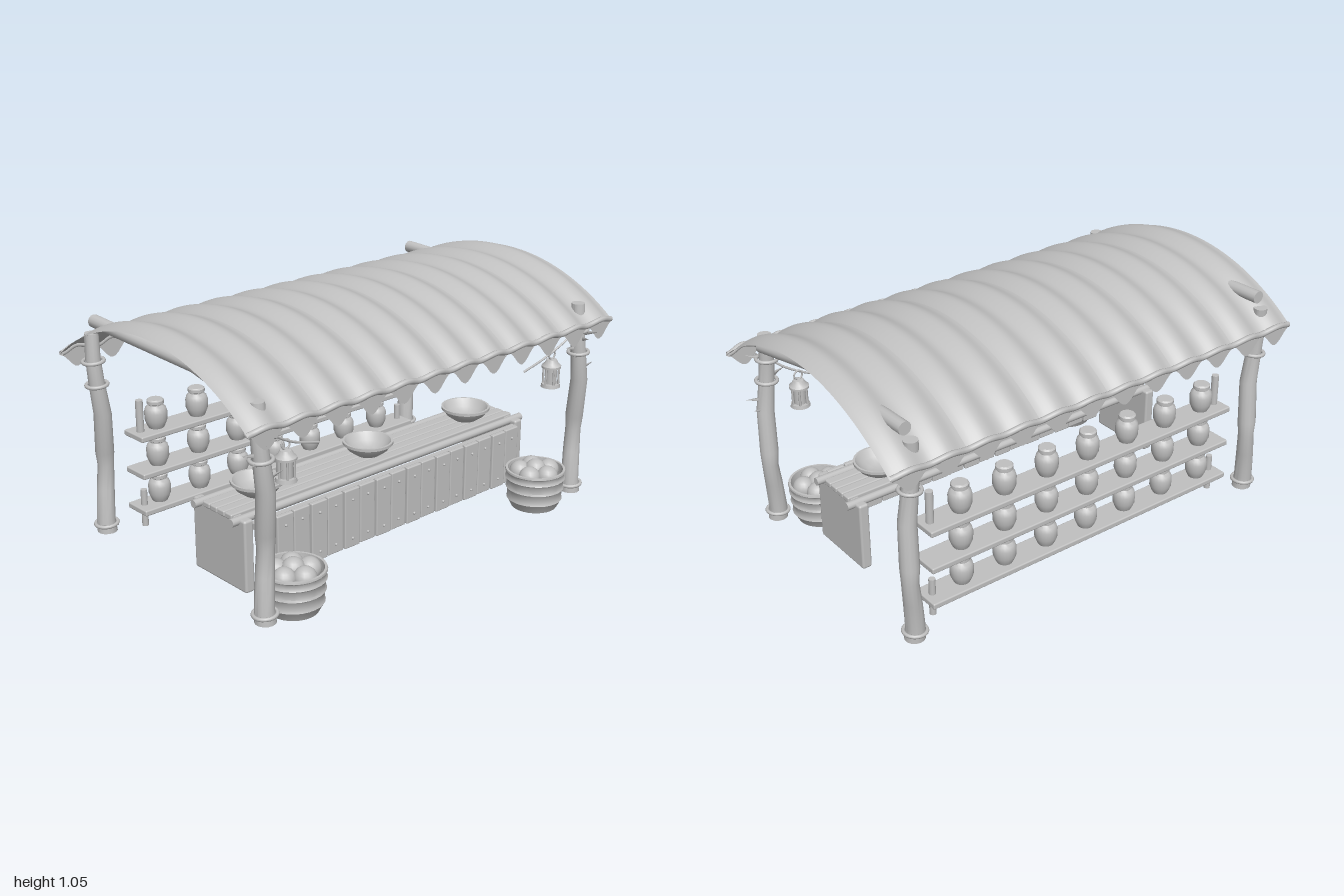
import * as THREE from 'three';
import { RoundedBoxGeometry } from 'three/addons/geometries/RoundedBoxGeometry.js';
import { toCreasedNormals } from 'three/addons/utils/BufferGeometryUtils.js';

const V = (x, y, z) => new THREE.Vector3(x, y, z);

export function createModel() {
  const model = new THREE.Group();
  model.name = 'marketStall';
  const clay = new THREE.MeshStandardMaterial({ color: 0xc0c0c0, side: THREE.DoubleSide });
  clay.name = 'plainGrey';

  const add = (name, geo, x = 0, y = 0, z = 0, parent = model) => {
    const mesh = new THREE.Mesh(geo, clay);
    mesh.name = name;
    mesh.position.set(x, y, z);
    parent.add(mesh);
    return mesh;
  };
  const group = (name, x = 0, y = 0, z = 0) => {
    const g = new THREE.Group();
    g.name = name;
    g.position.set(x, y, z);
    model.add(g);
    return g;
  };
  const lathe = (pts, sides = 24) =>
    toCreasedNormals(new THREE.LatheGeometry(pts.map(p => new THREE.Vector2(...p)), sides), 0.7);
  const ring = (r, t) => new THREE.TorusGeometry(r, t, 8, 20).rotateX(Math.PI / 2);

  // Pole whose rings follow rows of [x, y, z, radius]; height runs along y
  const bentPole = (rows, sides = 14) => {
    const n = rows.length - 1;
    const geo = new THREE.CylinderGeometry(1, 1, n, sides, n);
    const p = geo.attributes.position;
    for (let i = 0; i < p.count; i++) {
      const [x, y, z, r] = rows[Math.round(p.getY(i) + n / 2)];
      p.setXYZ(i, x + p.getX(i) * r, y, z + p.getZ(i) * r);
    }
    return toCreasedNormals(geo, 0.8);
  };

  // Arched roof in six corrugated panels
  const R = 0.962, half = 0.674;
  const wave = x => -0.011 * Math.cos(12 * Math.PI * x);
  const roofPoint = (x, a) => {
    const r = R + wave(x);
    return V(x, 1.043 - R + r * Math.cos(a), r * Math.sin(a));
  };
  const roof = group('roof');
  for (let k = 0; k < 6; k++) {
    const sheet = new THREE.PlaneGeometry(1, 1, 24, 32);
    const p = sheet.attributes.position;
    for (let i = 0; i < p.count; i++) {
      const q = roofPoint(-1 + (k + p.getX(i) + 0.5) / 3, -p.getY(i) * 2 * half);
      p.setXYZ(i, q.x, q.y, q.z);
    }
    sheet.computeVertexNormals();
    add('roofPanel', sheet, 0, 0, 0, roof);
  }
  // Wavy hem and scalloped valance along both eaves
  for (const s of [1, -1]) {
    const pts = [];
    for (let i = 0; i <= 96; i++) pts.push(roofPoint(-0.995 + i * 1.99 / 96, s * half));
    add('roofHem', new THREE.TubeGeometry(new THREE.CatmullRomCurve3(pts), 192, 0.012, 8), 0, 0, 0, roof);
    const valance = new THREE.PlaneGeometry(2, 1, 144, 1);
    const p = valance.attributes.position;
    for (let i = 0; i < p.count; i++) {
      const x = p.getX(i), top = p.getY(i) > 0;
      p.setY(i, top ? 0.835 + wave(x) : 0.785 + 0.032 * Math.cos(12 * Math.PI * x));
    }
    add('valance', valance, 0, 0, s * 0.6, roof);
  }

  // Four crooked posts with binding rings
  const crook = [
    [-0.003, 0.035, 0.003, 0.042], [-0.005, 0.09, 0, 0.039], [0.01, 0.22, -0.012, 0.037],
    [0.023, 0.32, -0.02, 0.034], [0.018, 0.38, -0.014, 0.039], [0.005, 0.56, 0.01, 0.037],
    [-0.015, 0.7, 0.012, 0.033], [-0.02, 0.8, 0.005, 0.031], [-0.015, 0.905, -0.003, 0.029]
  ];
  const twigs = [ // height, heading, length
    [0.78, 1.5, 0.07], [0.755, 2.0, 0.06], [0.71, 3.1, 0.07], [0.68, 2.7, 0.06],
    [0.61, 0.1, 0.07], [0.57, -0.3, 0.06], [0.8, 0.5, 0.05]
  ];
  for (const sx of [1, -1]) for (const sz of [1, -1]) {
    const post = group(sz > 0 ? 'frontPost' : 'backPost', sx * 0.878, 0, sz * 0.522);
    add('pole', bentPole(crook), 0, 0, 0, post);
    for (const [y, x, z, r] of [[0.79, -0.02, 0.006, 0.043], [0.69, -0.014, 0.012, 0.043], [0.07, -0.004, 0.002, 0.046]])
      add('bindingRing', ring(r, 0.008), x, y, z, post).rotation.z = 0.06;
    if (sz > 0) for (const [y, a, len] of twigs) {
      const twig = new THREE.ConeGeometry(0.012, len, 5).translate(0, len / 2, 0)
        .scale(1, 1, 0.4).rotateZ(-1.35).translate(0.025, 0, 0).rotateY(-a);
      add('twig', twig, -0.01, y, 0.01, post);
    }
  }

  // Bent roof beams, running front to back
  const beam = [[0, -0.52, -0.953, 0.027], [0, 0.14, -0.933, 0.025], [0, 0.525, -0.85, 0.023]];
  for (const s of [1, -1]) add('roofBeam', bentPole(beam).rotateX(Math.PI / 2), s * 0.88);

  // Counter: end boards, plank top with round edge rails, slatted front
  const counter = group('counter');
  for (const s of [1, -1])
    add('endBoard', new RoundedBoxGeometry(0.045, 0.305, 0.325, 2, 0.01), s * 0.77, 0.178, 0.138, counter);
  for (const z of [0.257, 0.023])
    add('edgeRail', new THREE.CylinderGeometry(0.017, 0.017, 1.65, 12).rotateZ(Math.PI / 2), 0, 0.322, z, counter);
  for (let i = 0; i < 4; i++)
    add('topPlank', new RoundedBoxGeometry(1.6, 0.024, 0.043, 2, 0.006), 0, 0.326, 0.208 - i * 0.046, counter);
  for (let i = 0; i < 17; i++) {
    const x = (i - 8) * 0.0875;
    add('frontSlat', new RoundedBoxGeometry(0.081, 0.255, 0.02, 2, 0.005), x, 0.188, 0.313 + (i % 2) * 0.004, counter);
    for (const y of [0.27, 0.1])
      add('nail', new THREE.SphereGeometry(0.006, 8, 6), x, y, 0.324 + (i % 2) * 0.004, counter);
  }
  add('frontRail', new THREE.BoxGeometry(1.5, 0.025, 0.025), 0, 0.3, 0.292, counter);

  // Bowls on the counter
  const bowl = lathe([[0, 0], [0.05, 0], [0.085, 0.025], [0.1, 0.048], [0.107, 0.05], [0.107, 0.062],
    [0.098, 0.062], [0.075, 0.03], [0.045, 0.012], [0, 0.01]], 28);
  for (const x of [-0.6, -0.005, 0.59]) add('bowl', bowl, x, 0.339, 0.14);

  // Shelves with rows of jars
  const jar = lathe([[0, 0], [0.032, 0], [0.038, 0.012], [0.047, 0.035], [0.048, 0.07], [0.043, 0.088],
    [0.031, 0.1], [0.031, 0.104], [0.036, 0.107], [0.036, 0.12], [0.03, 0.126], [0, 0.126]], 20);
  for (const y of [0.452, 0.287, 0.122]) {
    const shelf = group('shelf', 0, y, -0.445);
    add('shelfBoard', new RoundedBoxGeometry(1.555, 0.025, 0.13, 2, 0.006), 0, 0, 0, shelf);
    for (let i = 0; i < 7; i++) add('jar', jar, -0.66 + i * 0.21, 0.012, 0, shelf);
  }
  for (const s of [1, -1]) {
    add('upperShelfPeg', new THREE.CylinderGeometry(0.016, 0.016, 0.165, 12), s * 0.74, 0.52, -0.445);
    add('lowerShelfPeg', new THREE.CylinderGeometry(0.014, 0.014, 0.165, 12), s * 0.74, 0.122, -0.445);
  }

  // Woven baskets heaped with fruit
  const basket = lathe([[0, 0.02], [0.085, 0.02], [0.088, 0], [0.1, 0], [0.116, 0.032], [0.122, 0.04], [0.118, 0.05],
    [0.121, 0.082], [0.127, 0.09], [0.122, 0.098], [0.125, 0.128], [0.131, 0.136], [0.126, 0.144],
    [0.127, 0.162], [0.132, 0.168], [0.13, 0.176], [0.12, 0.176], [0.115, 0.12], [0, 0.12]], 28);
  const fruit = new THREE.SphereGeometry(0.047, 16, 12);
  for (const s of [1, -1]) {
    const g = group('fruitBasket', s * 0.697, 0, 0.468);
    add('basket', basket, 0, 0, 0, g);
    add('fruit', fruit, 0, 0.168, 0, g);
    for (let i = 0; i < 5; i++) {
      const a = i * Math.PI * 0.4 + 0.3;
      add('fruit', fruit, Math.cos(a) * 0.067, 0.155, Math.sin(a) * 0.067, g);
    }
  }

  // Lanterns hanging from curved branches
  const cap = lathe([[0, 0.086], [0.042, 0.086], [0.042, 0.095], [0.03, 0.106], [0.022, 0.122], [0, 0.126]], 16);
  for (const s of [1, -1]) {
    const branch = new THREE.CatmullRomCurve3([
      V(s * 0.86, 0.8, 0.53), V(s * 0.8, 0.745, 0.51), V(s * 0.7, 0.69, 0.49), V(s * 0.575, 0.652, 0.48)]);
    add('branch', new THREE.TubeGeometry(branch, 20, 0.005, 6), 0, 0, 0);
    const g = group('lantern', s * 0.742, 0.55, 0.49);
    add('base', new THREE.CylinderGeometry(0.039, 0.042, 0.015, 16), 0, 0.0075, 0, g);
    add('lamp', new THREE.CylinderGeometry(0.026, 0.026, 0.08, 14), 0, 0.05, 0, g);
    for (let i = 0; i < 6; i++) {
      const a = i * Math.PI / 3;
      add('cageBar', new THREE.CylinderGeometry(0.005, 0.005, 0.08, 6), Math.cos(a) * 0.033, 0.05, Math.sin(a) * 0.033, g);
    }
    add('cap', cap, 0, 0, 0, g);
    add('hangingLoop', new THREE.TorusGeometry(0.019, 0.004, 6, 16), 0, 0.143, 0, g);
  }
  return model;
}
